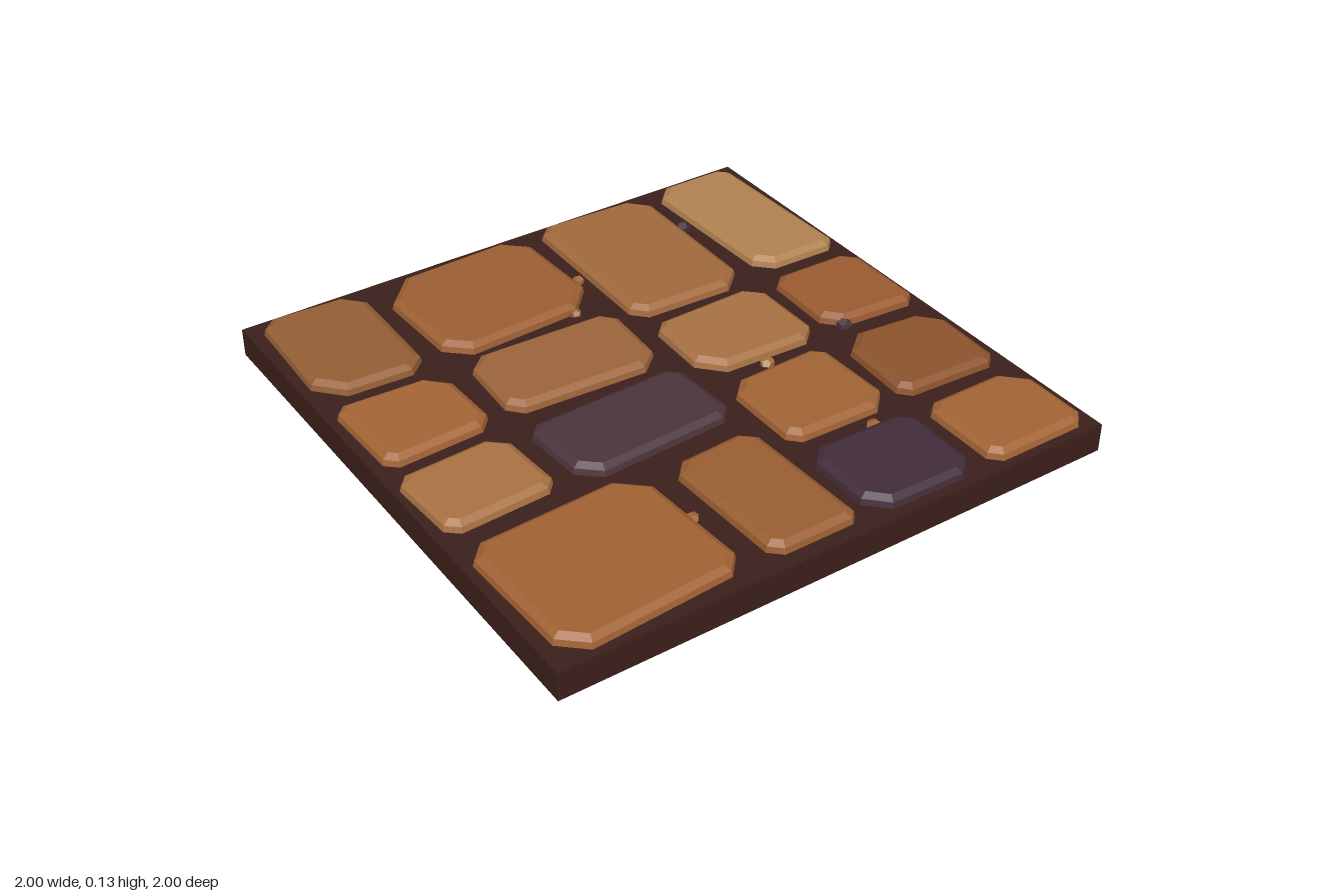
import * as THREE from 'three';

const BASE_TOP = 0.1;

function material(color) {
  return new THREE.MeshStandardMaterial({ color, flatShading: true, roughness: 0.9 });
}

// Quad corners (back-left, back-right, front-right, front-left) with each corner cut off.
function chamferedOutline(corners, cuts) {
  const p = [0, 2, 4, 6].map(i => new THREE.Vector2(corners[i], corners[i + 1]));
  const out = [];
  p.forEach((c, i) => {
    for (const n of [p[(i + 3) % 4], p[(i + 1) % 4]]) {
      out.push(n.clone().sub(c).setLength(cuts[i]).add(c));
    }
  });
  return out;
}

// Move every edge of the outline inwards by d (mitred corners).
function inset(points, d) {
  const n = points.length;
  const normal = (a, b) => new THREE.Vector2(-(b.y - a.y), b.x - a.x).normalize();
  return points.map((p, i) => {
    const a = normal(points[(i + n - 1) % n], p);
    const b = normal(p, points[(i + 1) % n]);
    return a.clone().add(b).multiplyScalar(d / (1 + a.dot(b))).add(p);
  });
}

// Stone: near-vertical wall, sloped bevel and flat top, joined ring to ring.
function stoneGeometry(corners, cuts) {
  const outline = chamferedOutline(corners, cuts);
  const rings = [[0, 0.095], [0.006, 0.12], [0.028, 0.134]].map(([d, y]) =>
    inset(outline, d).map(p => [p.x, y, p.y]));
  const n = outline.length;
  const pos = [];
  for (let r = 0; r < rings.length - 1; r++) {
    for (let i = 0; i < n; i++) {
      const j = (i + 1) % n;
      const a = rings[r][i], b = rings[r][j], c = rings[r + 1][j], d = rings[r + 1][i];
      pos.push(...a, ...c, ...b, ...a, ...d, ...c);
    }
  }
  const top = rings[2], bottom = rings[0];
  for (let i = 1; i < n - 1; i++) {
    pos.push(...top[0], ...top[i + 1], ...top[i]);
    pos.push(...bottom[0], ...bottom[i], ...bottom[i + 1]);
  }
  const g = new THREE.BufferGeometry();
  g.setAttribute('position', new THREE.Float32BufferAttribute(pos, 3));
  g.computeVertexNormals();
  return g;
}

export function createModel() {
  const model = new THREE.Group();
  model.name = 'cobblestoneTile';

  // Mortar slab
  const slab = new THREE.Mesh(new THREE.BoxGeometry(2, BASE_TOP, 2), material(0x3c201b));
  slab.name = 'mortarSlab';
  slab.position.y = BASE_TOP / 2;
  model.add(slab);

  const stones = new THREE.Group();
  stones.name = 'pavingStones';
  model.add(stones);
  const stone = (color, corners, cuts) => {
    const mesh = new THREE.Mesh(stoneGeometry(corners, cuts), material(color));
    mesh.name = 'stone' + (stones.children.length + 1);
    stones.add(mesh);
  };

  // Left column
  stone(0x935f35, [-.95, -.98, -.58, -.96, -.59, -.44, -.97, -.46], [.05, .07, .06, .09]);
  stone(0xa36434, [-.97, -.40, -.58, -.38, -.57, -.05, -.96, -.03], [.04, .07, .05, .04]);
  stone(0xa87142, [-.98, .03, -.59, .01, -.57, .33, -.96, .35], [.04, .06, .04, .04]);
  stone(0xa06233, [-.97, .43, -.35, .40, -.32, .94, -.95, .98], [.06, .09, .06, .08]);

  // Centre-left column
  stone(0x9c5f33, [-.53, -.95, .06, -.97, .08, -.46, -.51, -.43], [.12, .08, .10, .08]);
  stone(0x9c643a, [-.49, -.40, .07, -.38, .05, -.03, -.51, -.06], [.06, .05, .07, .05]);
  stone(0x4c343c, [-.52, .03, .06, .01, .08, .33, -.50, .36], [.04, .04, .05, .07]);
  stone(0x995e32, [-.26, .44, .06, .42, .08, .95, -.24, .95], [.05, .05, .03, .04]);

  // Centre-right column
  stone(0xa0693c, [.13, -.98, .58, -.96, .57, -.28, .12, -.30], [.05, .07, .08, .05]);
  stone(0xa77143, [.13, -.23, .57, -.24, .57, .13, .12, .11], [.04, .06, .06, .08]);
  stone(0xa06334, [.13, .19, .52, .18, .53, .56, .13, .55], [.06, .04, .07, .04]);
  stone(0x422d39, [.12, .61, .53, .62, .52, .97, .12, .96], [.06, .05, .06, .07]);

  // Right column
  stone(0xb08150, [.63, -.97, .96, -.97, .98, -.30, .65, -.31], [.06, .04, .04, .06]);
  stone(0x995a30, [.63, -.24, .98, -.23, .98, .14, .62, .11], [.04, .05, .04, .06]);
  stone(0x8c542d, [.59, .18, .97, .22, .96, .57, .57, .55], [.08, .07, .04, .04]);
  stone(0xa26435, [.58, .63, .97, .63, .97, .97, .58, .97], [.04, .08, .04, .04]);

  // Loose pebbles in the joints: x, z, radius, colour
  const pebbles = new THREE.Group();
  pebbles.name = 'pebbles';
  model.add(pebbles);
  [
    [.09, -.62, .022, 0xa0693c], [-.03, -.45, .022, 0x9c5f33], [.59, -.71, .03, 0x422d39],
    [.33, .15, .026, 0xa77143], [.68, .11, .027, 0x4c343c], [.40, .61, .025, 0xa06334],
    [-.33, .67, .023, 0xa06233],
  ].forEach(([x, z, r, color], i) => {
    const mesh = new THREE.Mesh(new THREE.DodecahedronGeometry(r), material(color));
    mesh.name = 'pebble' + (i + 1);
    mesh.position.set(x, BASE_TOP + 0.008, z);
    mesh.rotation.y = i * 1.3;
    mesh.scale.y = 0.8;
    pebbles.add(mesh);
  });

  return model;
}
